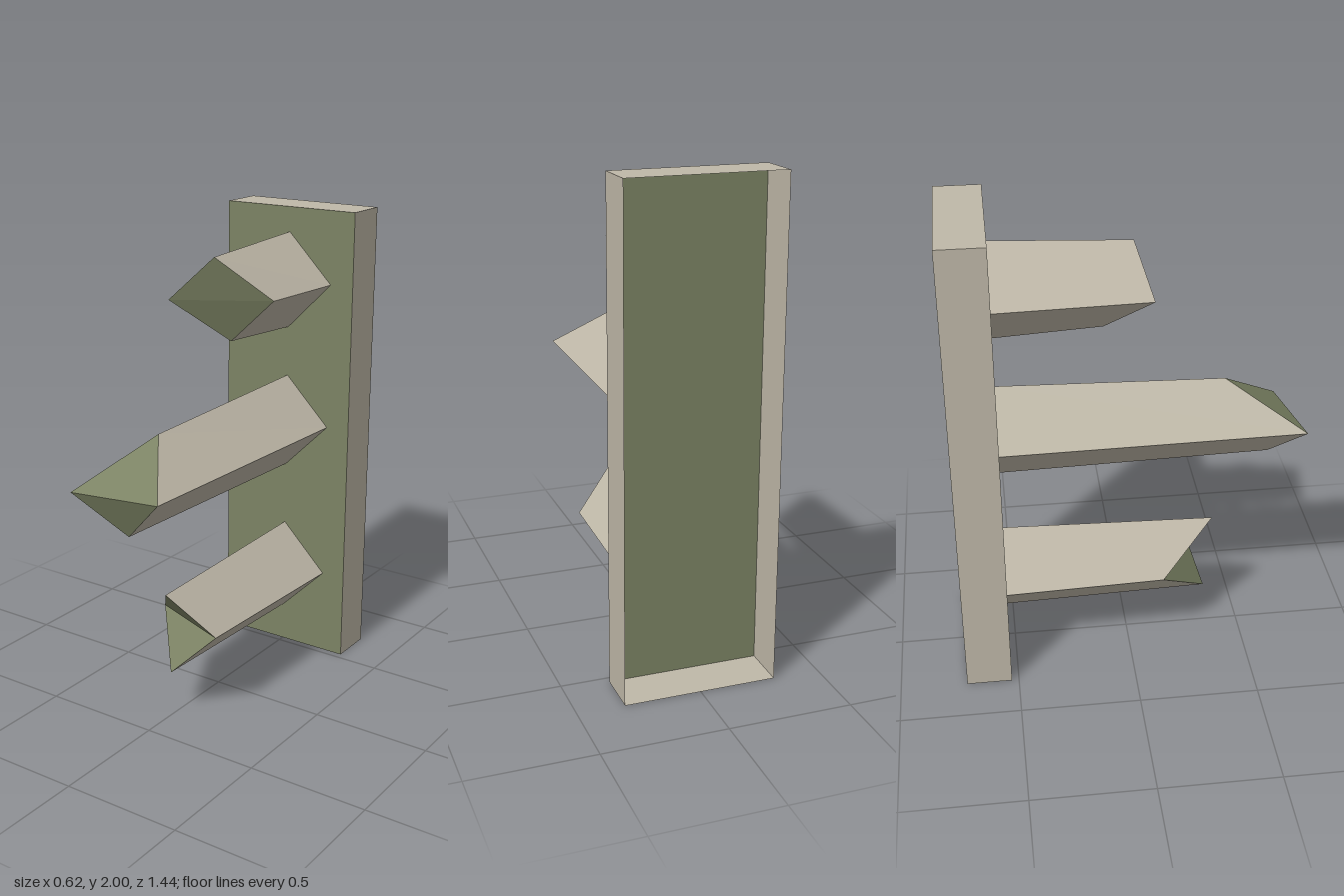
import * as THREE from 'three';

const wood = new THREE.MeshStandardMaterial({ color: 0xbfb8a8, flatShading: true, side: THREE.DoubleSide });
const green = new THREE.MeshStandardMaterial({ color: 0x7c8364, flatShading: true, side: THREE.DoubleSide });

const PLATE_Z = -0.53, BACK_Z = -0.72;

// Mesh from a list of triangles, each three [x, y, z] corners
function triMesh(name, tris, material) {
  const g = new THREE.BufferGeometry();
  g.setAttribute('position', new THREE.Float32BufferAttribute(tris.flat(2), 3));
  g.computeVertexNormals();
  const mesh = new THREE.Mesh(g, material);
  mesh.name = name;
  return mesh;
}

// Side walls between two four-cornered rings, counter-clockwise from the front
function band(back, front) {
  const tris = [];
  for (let i = 0; i < 4; i++) {
    const j = (i + 1) % 4;
    tris.push([back[i], back[j], front[j]], [back[i], front[j], front[i]]);
  }
  return tris;
}

// Front cap, split from the first corner to the third
const cap = ([a, b, c, d]) => [[a, b, c], [a, c, d]];

// Diamond ring: right, top, left, bottom, each corner with its own depth
const diamond = (y, r, z) => [[r, y, z[0]], [0, y + r, z[1]], [-r, y, z[2]], [0, y - r, z[3]]];

// Plate outline at a depth
const rect = (z) => [[0.31, 0, z], [0.31, 2, z], [-0.31, 2, z], [-0.31, 0, z]];

export function createModel() {
  const model = new THREE.Group();
  model.name = 'peggedPost';

  // Backing plate: green front, thin walls, open at the back
  const plate = new THREE.Group();
  plate.name = 'backingPlate';
  plate.add(triMesh('plateFront', cap(rect(PLATE_Z)), green));
  plate.add(triMesh('plateWalls', band(rect(BACK_Z), rect(PLATE_Z)), wood));
  model.add(plate);

  // Tapered diamond pegs with broken ends; depths are right, top, left, bottom
  const pegs = [
    ['upperPeg', 1.69, [-0.125, 0.03, 0.09, -0.09]],
    ['middlePeg', 1.065, [0.655, 0.405, 0.72, 0.6]],
    ['lowerPeg', 0.377, [0.28, 0.375, 0.14, 0.345]],
  ];
  for (const [name, y, depths] of pegs) {
    const base = diamond(y, 0.205, Array(4).fill(PLATE_Z));
    const tip = diamond(y, 0.18, depths);
    const peg = new THREE.Group();
    peg.name = name;
    peg.add(triMesh('pegSides', band(base, tip), wood));
    peg.add(triMesh('pegBrokenEnd', cap(tip), green));
    model.add(peg);
  }
  return model;
}
